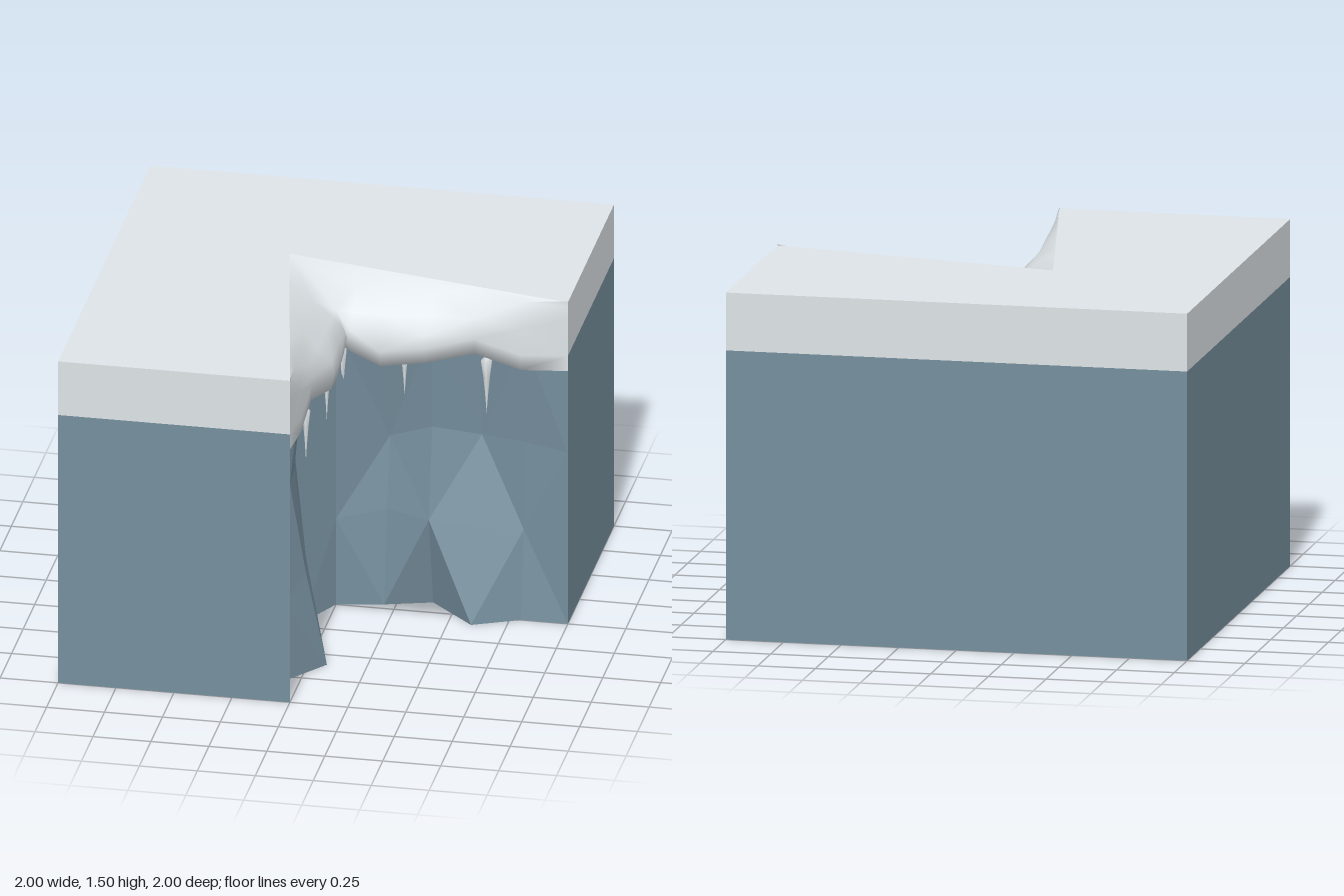
import * as THREE from 'three';

const rockMat = new THREE.MeshStandardMaterial({ color: 0x768f9e });
rockMat.name = 'rock';
const snowMat = new THREE.MeshStandardMaterial({ color: 0xe8eef2 });
snowMat.name = 'snow';

// Surface through columns of points, left to right, each listed bottom to top.
function gridSurface(columns, flat) {
  const rows = columns[0].length, index = [];
  for (let c = 0; c < columns.length - 1; c++) {
    for (let r = 0; r < rows - 1; r++) {
      const a = c * rows + r, b = a + rows, d = a + 1, e = b + 1;
      if ((c + r) % 2 === 0) index.push(a, b, e, a, e, d);
      else index.push(a, b, d, b, e, d);
    }
  }
  let geo = new THREE.BufferGeometry();
  geo.setAttribute('position', new THREE.Float32BufferAttribute(columns.flat(2), 3));
  geo.setIndex(index);
  if (flat) geo = geo.toNonIndexed();
  geo.computeVertexNormals();
  return geo;
}

// Flat cap from [x, z] corners, facing up or down.
function cap(points, y, up) {
  const s = up ? -1 : 1;
  const shape = new THREE.Shape(points.map(([x, z]) => new THREE.Vector2(x, z * s)));
  return new THREE.ShapeGeometry(shape).rotateX(s * Math.PI / 2).translate(0, y, 0);
}

export function createModel() {
  const group = new THREE.Group();
  const add = (name, geo, mat) => {
    const mesh = new THREE.Mesh(geo, mat);
    mesh.name = name;
    group.add(mesh);
    return mesh;
  };

  // Outer block walls: rock below, snow band above
  const outline = [[1, 0], [1, -1], [-1, -1], [-1, 1], [0, 1]];
  const wall = (y0, y1) => gridSurface(outline.map(([x, z]) => [[x, y0, z], [x, y1, z]]), true);
  add('rockWalls', wall(0, 1.25), rockMat);
  add('snowBand', wall(1.25, 1.5), snowMat);
  add('rockBase', cap([...outline, [0, 0]], 0, false), rockMat);
  add('snowTop', cap([...outline, [-0.25, -0.25]], 1.5, true), snowMat);

  // Places a point on either wing: s along the wall, d outward from it
  const place = (side, s, y, d) => (side > 0 ? [s, y, d] : [d, y, s]);

  // Faceted cliff in the inner corner: [height, depth] for each row, per column
  const rightCliff = [
    [[0, -0.04], [0.42, -0.1], [0.73, -0.17], [1.28, -0.1]],
    [[0, -0.1], [0.43, 0], [0.83, -0.08], [1.28, -0.06]],
    [[0, 0.09], [0.4, -0.03], [0.78, -0.15], [1.28, -0.12]],
    [[0, 0], [0.4, -0.05], [0.8, -0.07], [1.28, -0.05]],
    [[0, 0], [0.4, 0], [0.8, 0], [1.25, 0]],
  ];
  const leftCliff = [
    [[0, -0.1], [0.4, -0.12], [0.8, -0.14], [1.28, -0.1]],
    [[0, -0.01], [0.4, -0.05], [0.8, -0.1], [1.28, -0.06]],
    [[0, 0.08], [0.42, -0.01], [0.83, -0.08], [1.28, -0.1]],
    [[0, -0.07], [0.36, -0.06], [0.8, -0.04], [1.28, -0.05]],
    [[0, 0], [0.4, 0], [0.8, 0], [1.25, 0]],
  ];
  const cliffSide = (rows, side) =>
    rows.map((col, i) => col.map(([y, d]) => place(side, (i + 1) * 0.2, y, d)));
  const cliffCorner = [0, 0.4, 0.8, 1.3].map((y) => [0, y, 0]);
  add('cliff', gridSurface(
    [...cliffSide(leftCliff, -1).reverse(), cliffCorner, ...cliffSide(rightCliff, 1)], true), rockMat);

  // Overhanging snow drift: [along, overhang, lip height, brow height]
  const stations = [
    [0.07, 0.06, 1.21, 1.37], [0.2, 0.055, 1.15, 1.37], [0.4, 0.07, 1.19, 1.38],
    [0.6, 0.015, 1.23, 1.39], [0.8, 0.01, 1.17, 1.42], [1, 0, 1.18, 1.48],
  ];
  const driftSide = (side) => stations.map(([s, d, lip, brow]) => {
    const back = -0.2 * (1 - s);
    return [
      [lip + 0.03, Math.max(back, -0.12)], [lip, d * 0.8], [lip + 0.07, d],
      [brow - 0.06, d * 0.9], [brow, 0], [(brow + 1.5) / 2 + 0.015, back * 0.5], [1.5, back],
    ].map(([y, p]) => place(side, s, y, p));
  });
  const driftCorner = [
    [1.26, -0.08], [1.23, 0], [1.27, 0.005], [1.32, 0.003], [1.37, 0], [1.45, -0.12], [1.5, -0.25],
  ].map(([y, p]) => [p, y, p]);
  add('snowDrift', gridSurface(
    [...driftSide(-1).reverse(), driftCorner, ...driftSide(1)], false), snowMat);

  // Icicles under the lip: x, z, radius, tip height
  const icicles = [
    [0.02, -0.03, 0.025, 0.87], [0.3, 0.02, 0.017, 1.01], [0.65, 0, 0.026, 0.95],
    [0.02, 0.3, 0.017, 1.0], [0, 0.65, 0.02, 0.97],
  ];
  for (const [x, z, r, tip] of icicles) {
    const h = 1.2 - tip;
    const profile = [[0, 0], [r * 0.3, h * 0.4], [r * 0.6, h * 0.7], [r, h], [0, h + 0.02]]
      .map(([a, b]) => new THREE.Vector2(a, b));
    add('icicle', new THREE.LatheGeometry(profile, 6), snowMat).position.set(x, tip, z);
  }
  return group;
}
